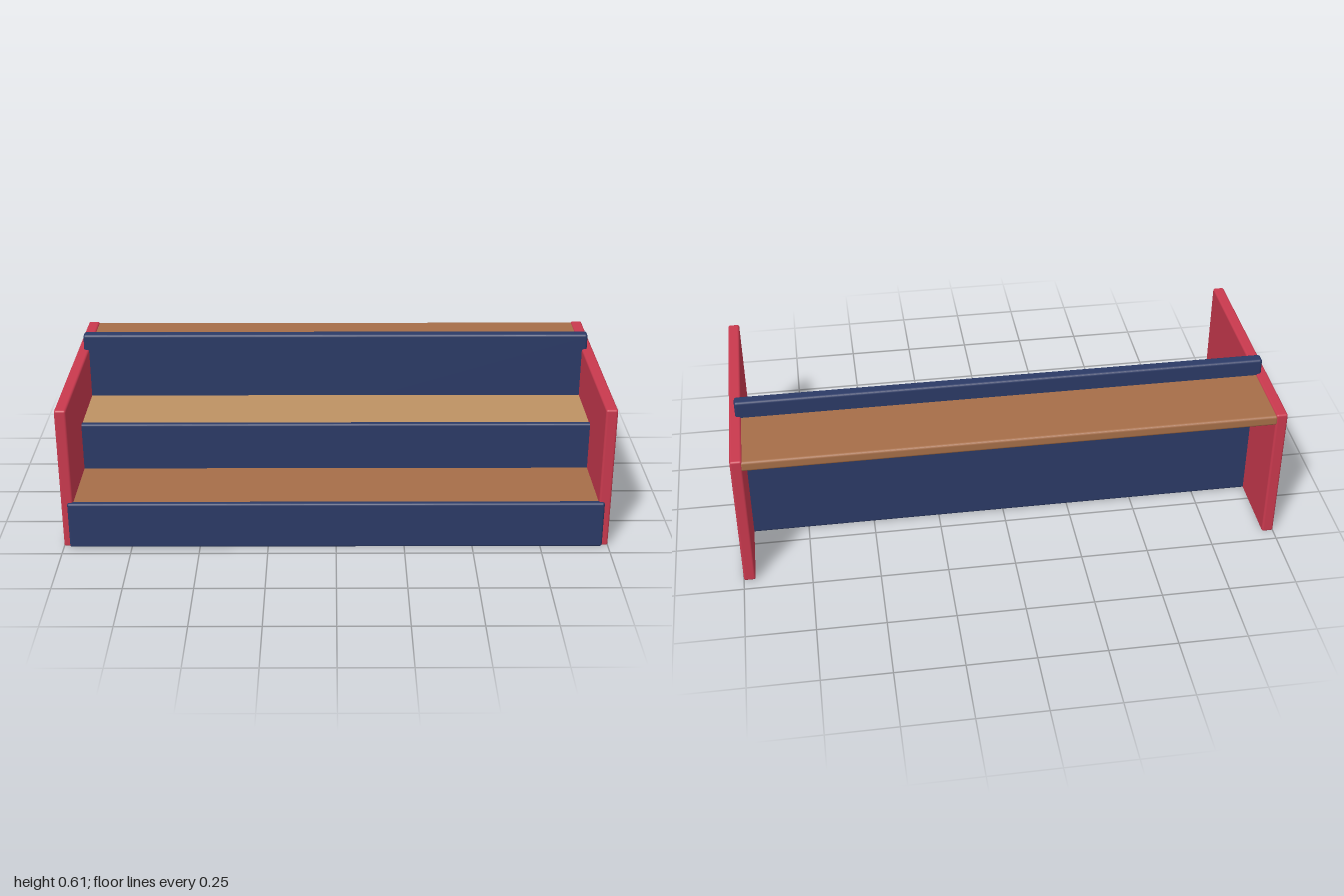
import * as THREE from 'three';
import { RoundedBoxGeometry } from 'three/addons/geometries/RoundedBoxGeometry.js';

const material = (name, color) => {
  const m = new THREE.MeshStandardMaterial({ color });
  m.name = name;
  return m;
};

export function createModel() {
  const red = material('red', 0xc9394e);
  const navy = material('navy', 0x2b3a66);
  const brown = material('brown wood', 0xa66e48);
  const tan = material('light wood', 0xbe9263);

  const group = new THREE.Group();
  group.name = 'tieredShelf';

  // A board with softly rounded edges, given by its extents
  const board = (name, mat, [x0, x1], [y0, y1], [z0, z1], radius = 0.008) => {
    const geometry = new RoundedBoxGeometry(x1 - x0, y1 - y0, z1 - z0, 3, radius);
    const mesh = new THREE.Mesh(geometry, mat);
    mesh.name = name;
    mesh.position.set((x0 + x1) / 2, (y0 + y1) / 2, (z0 + z1) / 2);
    group.add(mesh);
  };

  // End panels
  board('leftPanel', red, [0.957, 1], [0, 0.545], [-0.455, 0.445]);
  board('rightPanel', red, [-1, -0.957], [0, 0.545], [-0.455, 0.445]);

  // Upright boards, rising towards the back
  board('frontBoard', navy, [-0.977, 0.977], [0.002, 0.18], [0.432, 0.457]);
  board('middleBoard', navy, [-0.965, 0.965], [0.002, 0.358], [0.125, 0.15]);
  board('backBoard', navy, [-0.977, 0.977], [0.002, 0.605], [-0.185, -0.141], 0.01);

  // Shelves, one for each step
  board('lowerShelf', brown, [-0.965, 0.965], [0.145, 0.175], [0.13, 0.44], 0.004);
  board('middleShelf', tan, [-0.965, 0.965], [0.32, 0.352], [-0.16, 0.135], 0.004);
  board('upperShelf', brown, [-0.965, 0.965], [0.5, 0.54], [-0.455, -0.165], 0.01);

  return group;
}
